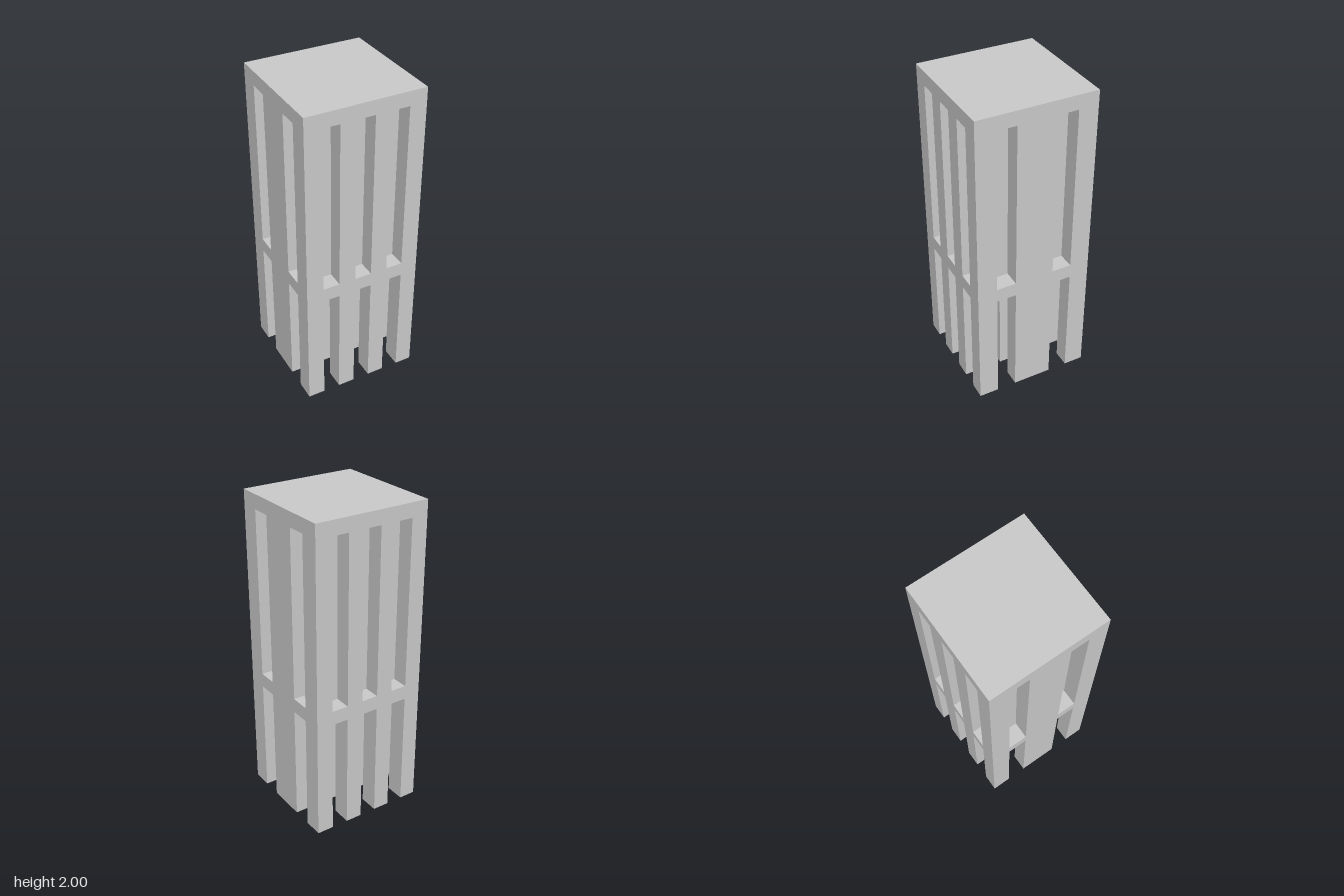
import * as THREE from 'three';

const W = 0.75;                    // plan width and depth
const COL = W / 7;                 // column and slot width across x
const LEG_TOP = 0.75, SLOT_LOW = 0.84, SLOT_HIGH = 1.91, TOP = 2;

// [centre, size] of the columns across x and z
const xs = [-3, -1, 1, 3].map((i) => [i * COL, COL]);
const zs = [[-0.3125, 0.125], [0, 0.25], [0.3125, 0.125]];

export function createModel() {
  const group = new THREE.Group();
  const material = new THREE.MeshStandardMaterial({ color: 0xcccccc, flatShading: true });

  function box(name, x, z, w, d, y0, y1) {
    const mesh = new THREE.Mesh(new THREE.BoxGeometry(w, y1 - y0, d), material);
    mesh.position.set(x, (y0 + y1) / 2, z);
    mesh.name = name;
    group.add(mesh);
  }

  // Horizontal bands that close the slots
  box('middleBand', 0, 0, W, W, LEG_TOP, SLOT_LOW);
  box('roof', 0, 0, W, W, SLOT_HIGH, TOP);

  // Solid core behind the upper recesses
  const core = W - 2 * COL;
  box('core', 0, 0, core, core, SLOT_LOW, SLOT_HIGH);

  // Grid of legs below, perimeter posts above
  xs.forEach(([x, w], i) => zs.forEach(([z, d], j) => {
    box('leg', x, z, w, d, 0, LEG_TOP);
    const outer = i === 0 || i === xs.length - 1 || j !== 1;
    if (outer) box('post', x, z, w, d, SLOT_LOW, SLOT_HIGH);
  }));

  return group;
}
